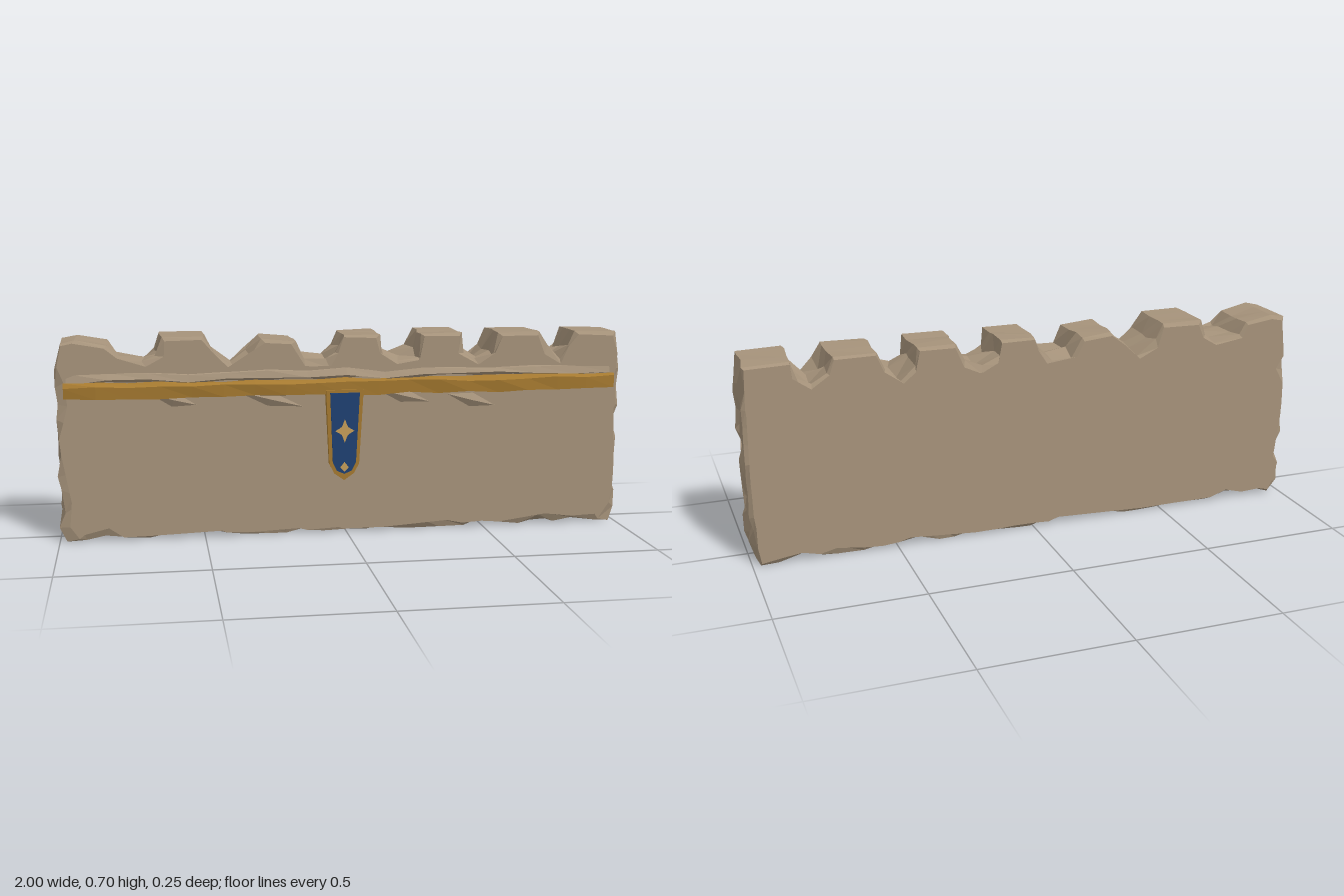
import * as THREE from 'three';

const mat = (name, color) => {
  const m = new THREE.MeshStandardMaterial({ color });
  m.name = name;
  return m;
};
const hash = (x, y, z) => {
  const s = Math.sin(x * 127.1 + y * 311.7 + z * 74.7) * 43758.5453;
  return s - Math.floor(s);
};

// Wall outline: battlements along the top, evenly sampled sides and base
function wallShape() {
  const top = [
    [-1, 0.6], [-0.98, 0.69], [-0.93, 0.7], [-0.82, 0.68], [-0.79, 0.63], [-0.7, 0.62], [-0.65, 0.65],
    [-0.64, 0.705], [-0.49, 0.705], [-0.46, 0.64], [-0.4, 0.61], [-0.34, 0.64], [-0.29, 0.695], [-0.18, 0.685],
    [-0.15, 0.62], [-0.06, 0.61], [-0.03, 0.65], [-0.01, 0.705], [0.12, 0.705], [0.13, 0.64], [0.19, 0.61],
    [0.25, 0.63], [0.27, 0.705], [0.41, 0.705], [0.42, 0.64], [0.47, 0.6], [0.53, 0.63], [0.55, 0.705],
    [0.7, 0.705], [0.72, 0.64], [0.77, 0.61], [0.81, 0.64], [0.83, 0.705], [0.985, 0.7], [1, 0.62],
  ];
  const pts = top.map(([x, y]) => new THREE.Vector2(x, y));
  for (let i = 1; i <= 9; i++) pts.push(new THREE.Vector2(1, 0.62 - i * 0.062));
  for (let i = 0; i <= 28; i++) pts.push(new THREE.Vector2(0.98 - i * 0.07, 0));
  for (let i = 0; i < 9; i++) pts.push(new THREE.Vector2(-1, 0.05 + i * 0.062));
  return new THREE.Shape(pts.reverse());
}

// Chipped stone: every rim vertex is pushed by a repeatable amount
function wallGeometry() {
  const geo = new THREE.ExtrudeGeometry(wallShape(), {
    depth: 0.186, steps: 3, bevelEnabled: true, bevelSegments: 1,
    bevelThickness: 0.012, bevelSize: 0.01, bevelOffset: -0.01,
  });
  geo.translate(0, 0, -0.108);
  const p = geo.attributes.position;
  for (let i = 0; i < p.count; i++) {
    let x = p.getX(i), y = p.getY(i), z = p.getZ(i);
    const a = hash(x, y, z), b = hash(y, z, x), c = hash(z, x, y);
    const face = z < -0.115 || z > 0.085;
    if (Math.abs(x) > 0.97 && y < 0.66) {
      x -= Math.sign(x) * a * a * (face ? 0.045 : 0.035);
      y += (b - 0.5) * 0.025 * (y > 0.05 ? 1 : 0);
    } else if (y < 0.05) {
      y += a * a * (face ? 0.035 : 0.03);
      x += (b - 0.5) * 0.03;
    } else if (y < 0.665) {
      y += (a - 0.5) * 0.03;
      x += (b - 0.5) * 0.025;
    } else {
      x += (b - 0.5) * 0.014;
      y -= a * a * 0.006;
    }
    if (!face) z += (c - 0.5) * (Math.abs(z) < 0.07 ? 0.045 : 0.006);
    p.setXYZ(i, x, Math.max(y, 0), z);
  }
  geo.computeVertexNormals();
  return geo;
}

// Long moulding lofted along x from a [z, y] profile, thinner at both ends
function moulding(profile, x0, x1, steps, rough) {
  const pos = [], n = profile.length;
  const at = (i, j) => {
    const t = i / steps, [z, y] = profile[j % n];
    const end = i === 0 || i === steps ? 0.55 : 1;
    const r = hash(i, j % n, rough * 100) - 0.5, q = hash(j % n, i, 3) - 0.5;
    return [x0 + (x1 - x0) * t, y + r * rough, z > 0.085 ? 0.085 + (z - 0.085 + q * rough * 0.5) * end : z];
  };
  for (let i = 0; i < steps; i++) {
    for (let j = 0; j < n; j++) {
      const A = at(i, j), B = at(i + 1, j), C = at(i + 1, j + 1), D = at(i, j + 1);
      pos.push(...A, ...C, ...B, ...A, ...D, ...C);
    }
  }
  for (const i of [0, steps]) {
    for (let j = 1; j < n - 1; j++) {
      const tri = [at(i, 0), at(i, j), at(i, j + 1)];
      if (i === 0) tri.reverse();
      pos.push(...tri.flat());
    }
  }
  const geo = new THREE.BufferGeometry();
  geo.setAttribute('position', new THREE.Float32BufferAttribute(pos, 3));
  geo.computeVertexNormals();
  return geo;
}

const plate = (points, depth) => new THREE.ExtrudeGeometry(
  new THREE.Shape(points.map(([x, y]) => new THREE.Vector2(x, y))), { depth, bevelEnabled: false });

export function createModel() {
  const stone = mat('stone', 0xa5927a);
  const gold = mat('gold trim', 0xa67a30);
  const blue = mat('blue cloth', 0x1f4274);
  const paleGold = mat('pale gold', 0xc9a05a);
  stone.side = gold.side = THREE.DoubleSide;

  const model = new THREE.Group();
  const add = (name, geo, material, parent = model) => {
    const mesh = new THREE.Mesh(geo, material);
    mesh.name = name;
    parent.add(mesh);
    return mesh;
  };

  add('wall', wallGeometry(), stone);

  // Gold ledge with a worn stone slope above it
  add('ledge', moulding(
    [[0.06, 0.55], [0.104, 0.552], [0.118, 0.54], [0.113, 0.498], [0.06, 0.497]], -0.97, 0.975, 18, 0.012), gold);
  add('ledgeSlope', moulding(
    [[0.07, 0.595], [0.092, 0.58], [0.103, 0.556], [0.07, 0.545]], -0.96, 0.96, 14, 0.02), stone);

  // Broken stone chips under the ledge
  for (const [x, y, w] of [[0.45, 0.465, 0.09], [-0.27, 0.485, 0.12], [0.2, 0.487, 0.1], [-0.6, 0.49, 0.08]]) {
    const chip = add('stoneChip', new THREE.OctahedronGeometry(1, 0), stone);
    chip.scale.set(w, 0.025, 0.014);
    chip.position.set(x, y, 0.09);
    chip.rotation.z = -0.25;
  }

  // Hanging banner, leaning out slightly at the top
  const banner = new THREE.Group();
  banner.name = 'banner';
  banner.position.set(-0.01, 0.19, 0.103);
  banner.rotation.x = 0.06;
  model.add(banner);

  const border = plate([[-0.066, 0.325], [-0.053, 0.06], [-0.035, 0.025], [0, 0],
    [0.035, 0.025], [0.053, 0.06], [0.066, 0.325]], 0.035);
  border.translate(0, 0, -0.035);
  add('bannerBorder', border, gold, banner);

  add('bannerCloth', plate([[-0.052, 0.315], [-0.041, 0.065], [-0.027, 0.036], [0, 0.024],
    [0.027, 0.036], [0.041, 0.065], [0.052, 0.315]], 0.004), blue, banner);

  // Simple four-pointed ornament and a small diamond below
  const star = [];
  for (let i = 0; i < 16; i++) {
    const r = [0.042, 0.024, 0.02, 0.024][i % 4], a = (i * Math.PI) / 8;
    star.push([Math.cos(a) * r * 0.8, 0.18 + Math.sin(a) * r]);
  }
  add('bannerOrnament', plate(star, 0.007), paleGold, banner);
  add('bannerDiamond', plate([[-0.015, 0.048], [0, 0.032], [0.015, 0.048], [0, 0.068]], 0.007), paleGold, banner);

  return model;
}
